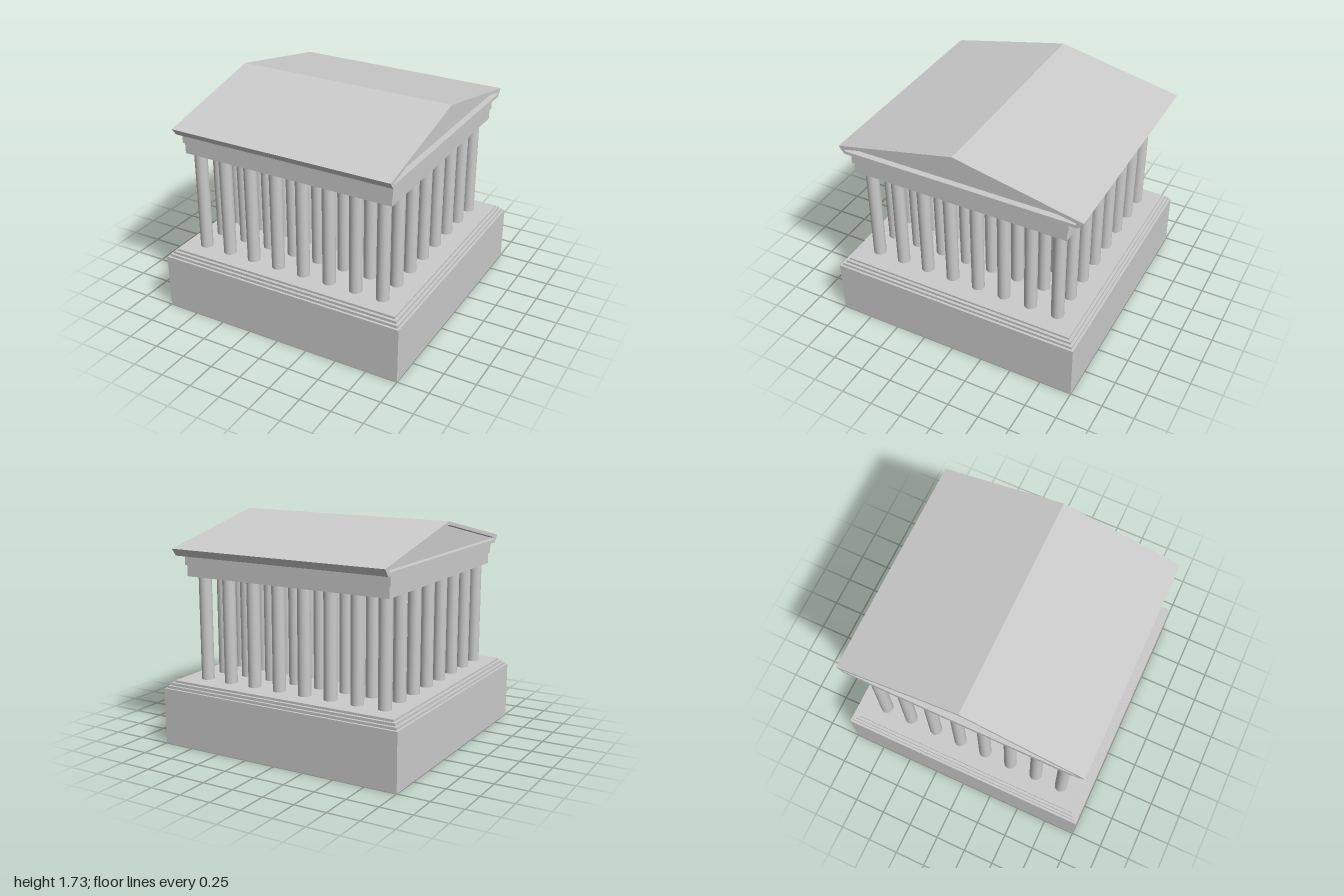
import * as THREE from 'three';

const grey = new THREE.MeshStandardMaterial({ color: 0xcccccc });

function add(parent, name, geometry, x = 0, y = 0, z = 0) {
  const mesh = new THREE.Mesh(geometry, grey);
  mesh.name = name;
  mesh.position.set(x, y, z);
  parent.add(mesh);
  return mesh;
}

// Square slab centred on the vertical axis, from y0 to y1
function slab(parent, name, half, y0, y1) {
  return add(parent, name, new THREE.BoxGeometry(half * 2, y1 - y0, half * 2), 0, (y0 + y1) / 2, 0);
}

// Extrudes a (z, y) profile along x, centred on x = 0
function extrudeAlongX(shape, length) {
  return new THREE.ExtrudeGeometry(shape, { depth: length, bevelEnabled: false })
    .translate(0, 0, -length / 2)
    .rotateY(-Math.PI / 2);
}

const points = (list) => list.map(([z, y]) => new THREE.Vector2(z, y));

export function createModel() {
  const temple = new THREE.Group();
  temple.name = 'temple';

  // Podium and shallow steps
  slab(temple, 'podium', 1, 0, 0.44);
  slab(temple, 'lowerStep', 0.982, 0.44, 0.46);
  slab(temple, 'middleStep', 0.962, 0.46, 0.48);
  slab(temple, 'upperStep', 0.94, 0.48, 0.497);

  // Grid of plain round columns
  const columns = new THREE.Group();
  columns.name = 'columns';
  temple.add(columns);
  const shaft = new THREE.CylinderGeometry(0.049, 0.049, 0.806, 32);
  const count = 8, spacing = 0.22;
  for (let i = 0; i < count; i++) {
    for (let j = 0; j < count; j++) {
      add(columns, 'column', shaft, -0.78 + i * spacing, 0.898, 0.775 - j * spacing);
    }
  }

  // Entablature
  slab(temple, 'architrave', 0.855, 1.3, 1.385);
  slab(temple, 'frieze', 0.866, 1.385, 1.465);

  // Gabled roof: hollow rim over the full length, with the pediment set back at both ends
  const roof = new THREE.Group();
  roof.name = 'roof';
  temple.add(roof);
  const outline = points([[0.909, 1.465], [0.952, 1.522], [0, 1.73], [-0.984, 1.522], [-0.941, 1.465]]);
  const opening = points([[0.895, 1.49], [0.905, 1.503], [0, 1.704], [-0.935, 1.503], [-0.925, 1.49]]);
  const rim = new THREE.Shape(outline);
  rim.holes.push(new THREE.Path(opening));
  add(roof, 'roofShell', extrudeAlongX(rim, 1.776));
  add(roof, 'pediment', extrudeAlongX(new THREE.Shape(opening), 1.68));

  return temple;
}
